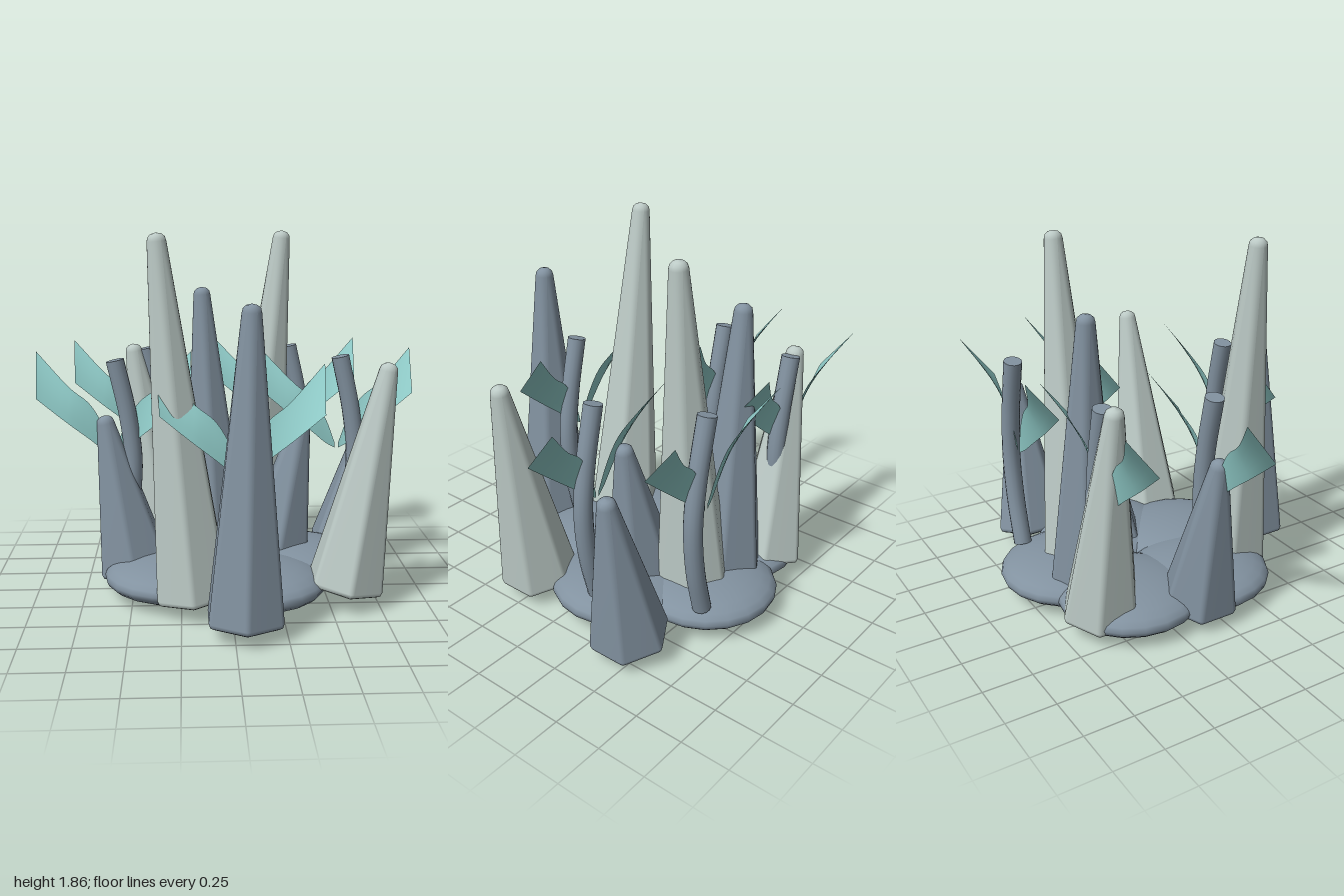
import * as THREE from 'three';

const V = (x, y, z) => new THREE.Vector3(x, y, z);
const mat = (name, color, extra = {}) => new THREE.MeshStandardMaterial({ name, color, ...extra });

// Indexed surface from rows of points; closed rows wrap around
function loft(rows, closed) {
  const n = rows[0].length, index = [];
  const at = (i, j) => i * n + (j % n);
  for (let i = 0; i < rows.length - 1; i++) {
    for (let j = 0; j < (closed ? n : n - 1); j++) {
      index.push(at(i, j), at(i, j + 1), at(i + 1, j + 1), at(i, j), at(i + 1, j + 1), at(i + 1, j));
    }
  }
  const geo = new THREE.BufferGeometry().setFromPoints(rows.flat());
  geo.setIndex(index);
  geo.computeVertexNormals();
  return geo;
}

// Six-sided spire with softened edges and a round tip
function crystalGeometry(h) {
  const rings = [ // height, hexagon core, edge rounding
    [0, 0, 0], [0, 0.17, 0.005], [0.01, 0.17, 0.022], [0.03, 0.168, 0.03],
    [h - 0.04, 0, 0.046], [h - 0.02, 0, 0.041], [h - 0.006, 0, 0.026], [h, 0, 0],
  ];
  return loft(rings.map(([y, core, r]) => {
    const ring = [];
    for (let k = 0; k < 6; k++) {
      for (let j = -2; j <= 2; j++) {
        const a = k * Math.PI / 3, b = a + j * Math.PI / 12;
        ring.push(V(core * Math.sin(a) + r * Math.sin(b), y, core * Math.cos(a) + r * Math.cos(b)));
      }
    }
    return ring;
  }), true);
}

// Twisted leaf between an upper and a lower edge; side mirrors it
function leafGeometry(side) {
  const edge = (pts) => new THREE.CatmullRomCurve3(pts.map(([x, y, z]) => V(x * side, y, z)));
  const upper = edge([[0.01, 0.75, 0], [0.06, 0.88, -0.01], [0.13, 0.99, -0.02], [0.22, 1.06, -0.035], [0.405, 1.245, -0.125]]);
  const lower = edge([[0.01, 0.72, 0], [0.06, 0.75, 0.01], [0.13, 0.81, 0.025], [0.24, 0.9, 0.045], [0.39, 1.025, 0.05]]);
  const rows = [];
  for (let i = 0; i <= 16; i++) {
    const a = lower.getPoint(i / 16), b = upper.getPoint(i / 16);
    rows.push([0, 0.25, 0.5, 0.75, 1].map((t) => a.clone().lerp(b, t)));
  }
  return loft(rows, false);
}

export function createModel() {
  const model = new THREE.Group();
  model.name = 'crystalCluster';
  const slate = mat('slate', 0x8292a0);
  const pale = mat('paleStone', 0xbccac6);
  const teal = mat('tealLeaf', 0x8fcac7, { side: THREE.DoubleSide });

  const add = (parent, name, geo, material) => {
    const mesh = new THREE.Mesh(geo, material);
    mesh.name = name;
    parent.add(mesh);
    return mesh;
  };

  // Ring of five flattened boulders
  const boulder = new THREE.SphereGeometry(1, 20, 14);
  for (let i = 0; i < 5; i++) {
    const a = i * Math.PI * 2 / 5;
    const m = add(model, 'baseBoulder', boulder, slate);
    m.scale.set(0.365, 0.107, 0.365);
    m.position.set(0.01 + 0.36 * Math.cos(a), 0.112, -0.14 + 0.36 * Math.sin(a));
  }

  // Spires: base x, y, z, tip x, y, z
  const crystals = [
    [slate, 0.05, 0.07, 0.64, 0.075, 1.56, 0.63],
    [slate, -0.05, 0.08, -0.48, -0.13, 1.56, -0.48],
    [pale, -0.19, 0.08, 0.33, -0.355, 1.865, 0.33],
    [pale, 0.14, 0.08, -0.42, 0.305, 1.865, -0.42],
    [pale, 0.575, 0.095, 0.26, 0.775, 1.24, 0.26],
    [pale, -0.335, 0.095, -0.55, -0.515, 1.24, -0.55],
    [slate, -0.49, 0.09, -0.07, -0.645, 0.925, -0.07],
    [slate, 0.675, 0.09, -0.44, 0.83, 0.925, -0.44],
    [slate, 0.25, 0.09, -0.18, 0.405, 0.925, -0.18],
  ];
  for (const [material, bx, by, bz, tx, ty, tz] of crystals) {
    const axis = V(tx - bx, ty - by, tz - bz);
    const m = add(model, 'crystal', crystalGeometry(axis.length()), material);
    m.position.set(bx, by, bz);
    m.quaternion.setFromUnitVectors(V(0, 1, 0), axis.normalize());
  }

  // Bent stalks, each with a pair of leaves
  const path = new THREE.CatmullRomCurve3([
    V(0.015, 0.18, 0), V(0.075, 0.42, 0), V(0.1, 0.67, 0), V(0.075, 0.92, 0), V(0.012, 1.215, 0),
  ]);
  const stem = new THREE.TubeGeometry(path, 24, 0.047, 14, false);
  const cap = new THREE.CircleGeometry(0.047, 14);
  const leaves = [leafGeometry(1), leafGeometry(-1)];
  const spots = [[0.045, 0.43], [-0.595, -0.065], [-0.45, -0.57], [0.355, -0.64], [0.585, -0.17]];
  for (const [x, z] of spots) {
    const plant = new THREE.Group();
    plant.name = 'plant';
    plant.position.set(x, 0, z);
    add(plant, 'stem', stem, slate);
    for (const t of [0, 1]) {
      const c = add(plant, 'stemEnd', cap, slate);
      c.position.copy(path.getPoint(t));
      c.quaternion.setFromUnitVectors(V(0, 0, 1), path.getTangent(t).multiplyScalar(t ? 1 : -1));
    }
    leaves.forEach((g, i) => add(plant, i ? 'rightLeaf' : 'leftLeaf', g, teal));
    model.add(plant);
  }
  return model;
}
